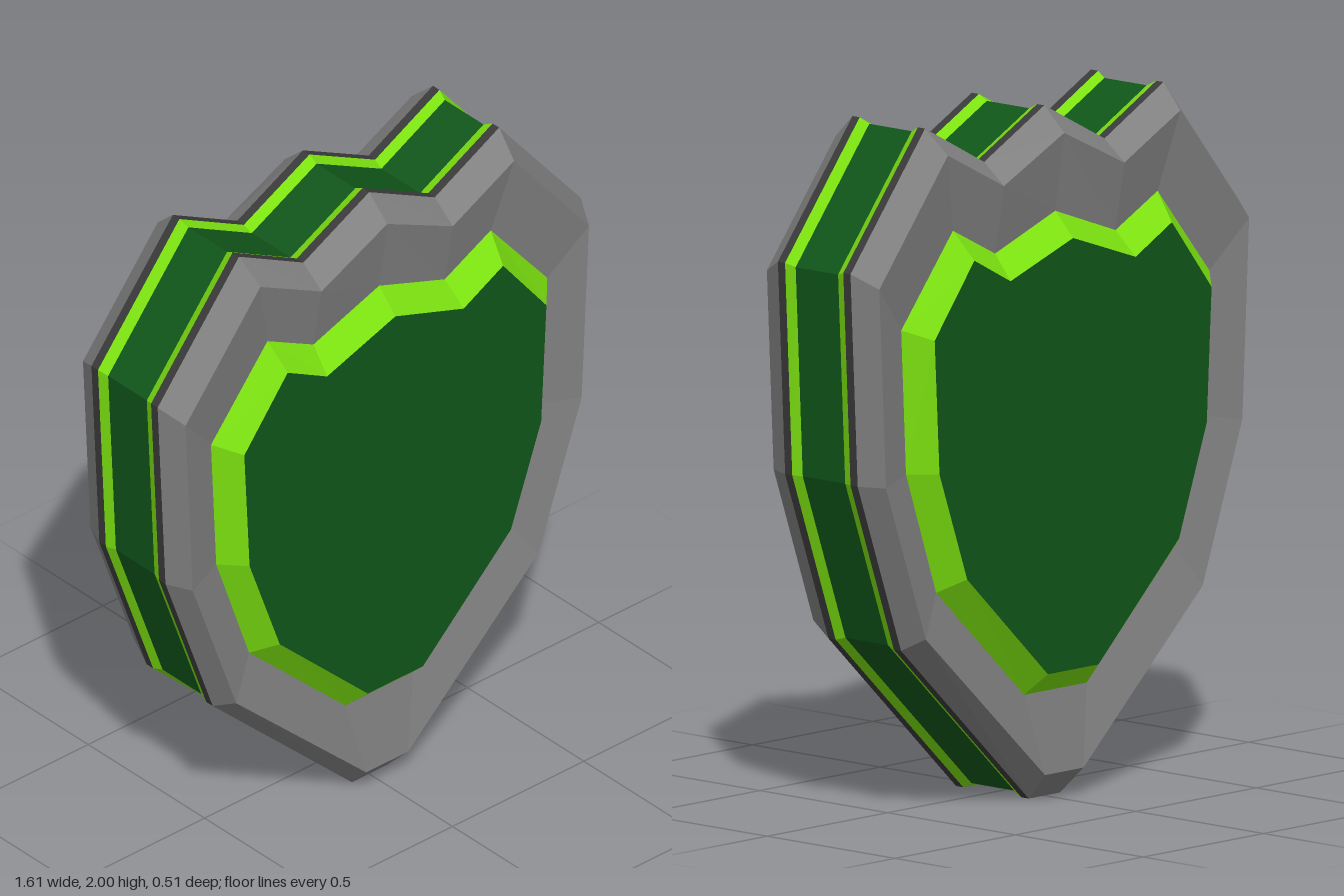
import * as THREE from 'three';

// Right half of each outline, from the bottom point up to the top centre
const OUTER = [[0.065, 0], [0.595, 0.5], [0.775, 1], [0.805, 1.62], [0.495, 2], [0.25, 1.87], [0, 2]];
const RIM = [[0.08, 0.08], [0.575, 0.54], [0.74, 1], [0.768, 1.58], [0.483, 1.93], [0.25, 1.81], [0, 1.93]];
const PANEL_EDGE = [[0.13, 0.315], [0.495, 0.66], [0.62, 1.02], [0.64, 1.44], [0.425, 1.7], [0.25, 1.61], [0, 1.7]];
const PANEL = [[0.105, 0.38], [0.44, 0.7], [0.555, 1.02], [0.575, 1.41], [0.41, 1.62], [0.26, 1.54], [0, 1.63]];
// Slightly smaller outline for the floor of the edge groove
const GROOVE = OUTER.map(([x, y]) => [x * 0.986, 1 + (y - 1) * 0.984]);

// Full counter-clockwise outline from a half
const mirrored = (half) => [...half, ...half.slice(0, -1).reverse().map(([x, y]) => [-x, y])];

// Flat-sided strip joining a front outline to the one behind it
function strip(frontHalf, zFront, backHalf, zBack) {
  const a = mirrored(frontHalf).map(([x, y]) => [x, y, zFront]);
  const b = mirrored(backHalf).map(([x, y]) => [x, y, zBack]);
  const pos = [];
  a.forEach((p, i) => {
    const j = (i + 1) % a.length;
    pos.push(...p, ...b[i], ...b[j], ...p, ...b[j], ...a[j]);
  });
  const geometry = new THREE.BufferGeometry();
  geometry.setAttribute('position', new THREE.Float32BufferAttribute(pos, 3));
  geometry.computeVertexNormals();
  return geometry;
}

export function createModel() {
  const model = new THREE.Group();
  model.name = 'shield';

  const material = (color) => new THREE.MeshStandardMaterial({ color, flatShading: true });
  const steel = material(0x808080);
  const darkSteel = material(0x3a3a3a);
  const lime = material(0x7be010);
  const green = material(0x10561a);

  const add = (parent, name, geometry, mat) => {
    const mesh = new THREE.Mesh(geometry, mat);
    mesh.name = name;
    parent.add(mesh);
    return mesh;
  };

  // Both faces are identical, the back one is turned around
  for (const [side, turn] of [['front', 0], ['back', Math.PI]]) {
    const half = new THREE.Group();
    half.name = side + 'Half';
    half.rotation.y = turn;
    model.add(half);

    // Raised centre panel with its bevel
    const shape = new THREE.Shape(mirrored(PANEL).map(([x, y]) => new THREE.Vector2(x, y)));
    add(half, side + 'Panel', new THREE.ShapeGeometry(shape), green).position.z = 0.255;
    add(half, side + 'PanelBevel', strip(PANEL, 0.255, PANEL_EDGE, 0.185), lime);

    // Steel frame, sloping inwards to the panel and chamfered outside
    add(half, side + 'Frame', strip(PANEL_EDGE, 0.185, RIM, 0.22), steel);
    add(half, side + 'FrameChamfer', strip(RIM, 0.22, OUTER, 0.142), steel);

    // Dark edge band and the lime wall of the groove
    add(half, side + 'EdgeBand', strip(OUTER, 0.142, OUTER, 0.114), darkSteel);
    add(half, side + 'GrooveWall', strip(OUTER, 0.114, GROOVE, 0.083), lime);
  }

  // Green core around the edge
  add(model, 'core', strip(GROOVE, 0.083, GROOVE, -0.083), green);
  return model;
}
